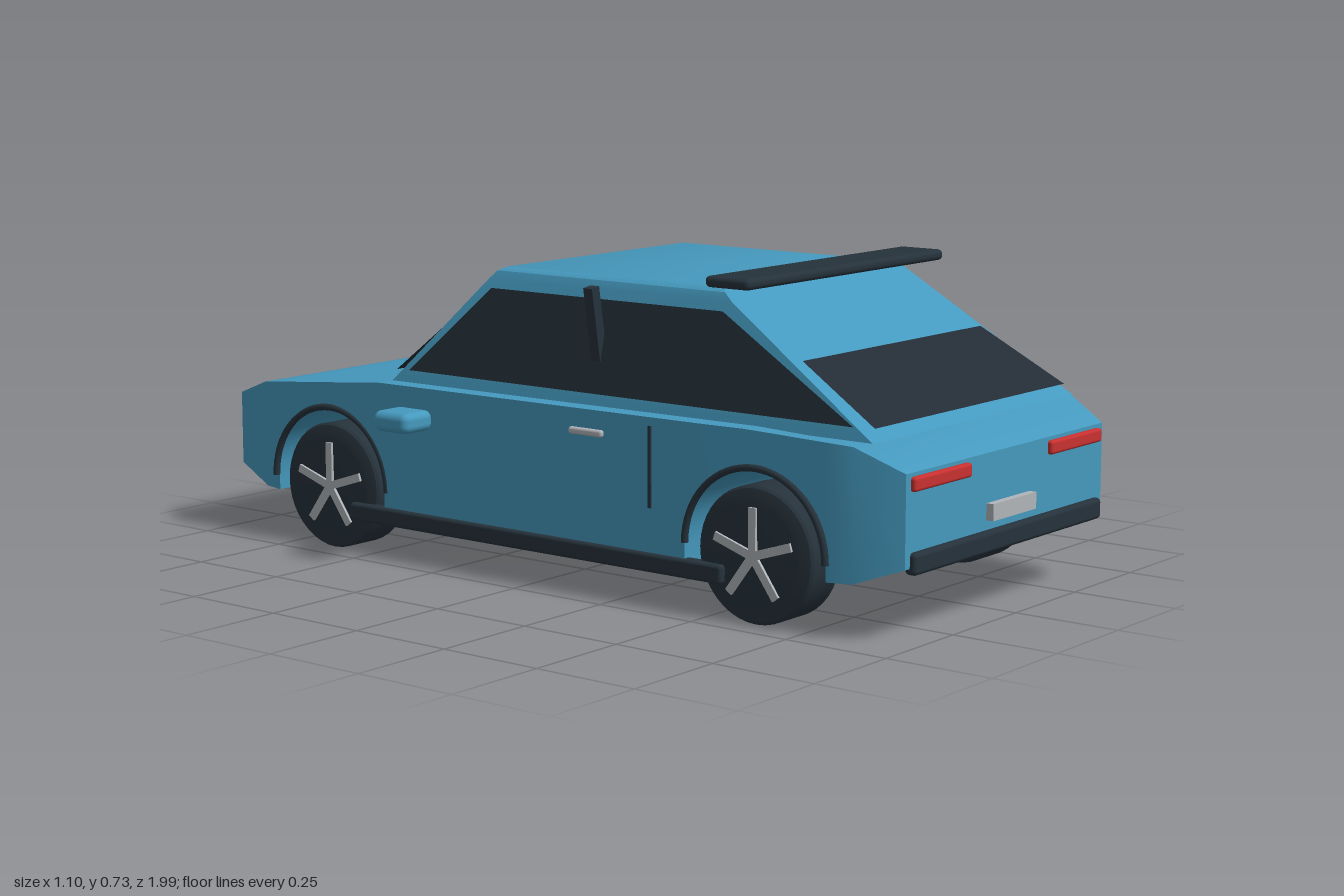
import * as THREE from 'three';
import { toCreasedNormals } from 'three/addons/utils/BufferGeometryUtils.js';
import { RoundedBoxGeometry } from 'three/addons/geometries/RoundedBoxGeometry.js';

const mat = (name, color, side = THREE.FrontSide) => {
  const m = new THREE.MeshStandardMaterial({ color, side });
  m.name = name;
  return m;
};

// Joins four-cornered sections (counter-clockwise seen from the last one) into a closed solid
function loft(sections, crease) {
  const index = [];
  const last = (sections.length - 1) * 4;
  for (let s = 0; s < last; s += 4) {
    for (let k = 0; k < 4; k++) {
      const n = (k + 1) % 4;
      index.push(s + k, s + n, s + 4 + n, s + k, s + 4 + n, s + 4 + k);
    }
  }
  index.push(0, 2, 1, 0, 3, 2, last, last + 1, last + 2, last, last + 2, last + 3);
  const g = new THREE.BufferGeometry();
  g.setAttribute('position', new THREE.Float32BufferAttribute(sections.flat(2), 3));
  g.setIndex(index);
  return toCreasedNormals(g, crease);
}

// Flat four-cornered pane
function pane(points) {
  const g = new THREE.BufferGeometry();
  g.setAttribute('position', new THREE.Float32BufferAttribute(points.flat(), 3));
  g.setIndex([0, 1, 2, 0, 2, 3]);
  g.computeVertexNormals();
  return g;
}

export function createModel() {
  const paint = mat('blue paint', 0x4599be);
  const trim = mat('dark trim', 0x26323b);
  const glass = mat('dark glass', 0x232d36, THREE.DoubleSide);
  const silver = mat('silver', 0xb0b4b8);
  const red = mat('red lamp', 0xc83030);

  const car = new THREE.Group();
  car.name = 'car';
  const add = (name, geometry, material, x = 0, y = 0, z = 0, parent = car) => {
    const m = new THREE.Mesh(geometry, material);
    m.name = name;
    m.position.set(x, y, z);
    parent.add(m);
    return m;
  };
  const rounded = (w, h, d, r) => new RoundedBoxGeometry(w, h, d, 3, r);

  const axles = [-0.625, 0.625];
  const archR = 0.18, archY = 0.155;

  // Lower body: sections along z, with wheel arches cut across the full width
  const topLine = [[-0.975, 0.335], [-0.85, 0.378], [-0.455, 0.415], [0.6, 0.42], [0.87, 0.41], [0.975, 0.36]];
  const widthLine = [[-0.975, 0.398], [-0.85, 0.436], [-0.5, 0.45], [0.5, 0.45], [0.87, 0.436], [0.975, 0.398]];
  const at = (line, z) => {
    let i = 0;
    while (i < line.length - 2 && z > line[i + 1][0]) i++;
    const [a, b] = [line[i], line[i + 1]];
    return THREE.MathUtils.mapLinear(z, a[0], b[0], a[1], b[1]);
  };
  const stations = [[-0.975, 0.16], [-0.85, 0.122]];
  axles.forEach((c, n) => {
    stations.push([c - archR - 0.001, n ? 0.1 : 0.118]);
    for (let i = 0; i <= 18; i++) {
      const a = Math.PI * (1 - i / 18);
      stations.push([c + archR * Math.cos(a), archY + archR * Math.sin(a)]);
    }
    stations.push([c + archR + 0.001, n ? 0.118 : 0.1]);
    if (!n) stations.push([-0.4, 0.1], [0.4, 0.1]);
  });
  stations.push([0.87, 0.122], [0.975, 0.16]);
  // extra sections where the roofline or plan outline bends
  const bodySections = stations.map(([z, b]) => {
    const w = at(widthLine, z), t = at(topLine, z);
    return [[w, b, z], [w, t, z], [-w, t, z], [-w, b, z]];
  });
  add('body', loft(bodySections, 0.5), paint);

  // Cabin: sections going up, with a softened roof edge
  const cabin = [[0.415, 0.403, -0.458, 0.895], [0.67, 0.348, -0.2, 0.492], [0.688, 0.34, -0.183, 0.468], [0.697, 0.325, -0.165, 0.45]]
    .map(([y, w, z0, z1]) => [[w, y, z1], [w, y, z0], [-w, y, z0], [-w, y, z1]]);
  add('cabin', loft(cabin, 0.6), paint);

  // Sloping windows at both ends
  add('tailWindow', pane([[-0.38, 0.442, 0.885], [0.38, 0.442, 0.885], [0.35, 0.56, 0.68], [-0.35, 0.56, 0.68]]), glass);
  add('windscreen', pane([[0.38, 0.438, -0.465], [-0.38, 0.438, -0.465], [-0.34, 0.562, -0.328], [0.34, 0.562, -0.328]]), glass);

  // Roof wing
  add('spoiler', rounded(0.76, 0.025, 0.118, 0.011), trim, 0, 0.713, 0.5);

  // Tail end
  add('rearBumper', rounded(0.76, 0.048, 0.03, 0.01), trim, 0, 0.169, 0.975);
  add('numberPlate', new THREE.BoxGeometry(0.175, 0.037, 0.02), silver, 0, 0.233, 0.983);

  // Nose end
  add('noseBumper', rounded(0.76, 0.048, 0.03, 0.01), trim, 0, 0.169, -0.975);
  add('grille', new THREE.BoxGeometry(0.36, 0.075, 0.03), trim, 0, 0.25, -0.983);

  const tyre = new THREE.LatheGeometry([[0, -0.056], [0.112, -0.058], [0.13, -0.056], [0.145, -0.052], [0.15, -0.046],
    [0.15, 0.046], [0.145, 0.052], [0.13, 0.056], [0.112, 0.058], [0, 0.056]].map(p => new THREE.Vector2(...p)), 40);
  const tyreGeometry = toCreasedNormals(tyre.rotateZ(-Math.PI / 2), 0.5);

  for (const s of [1, -1]) {
    const side = s > 0 ? 'left' : 'right';
    add(side + 'TailLight', rounded(0.218, 0.031, 0.022, 0.007), red, s * 0.271, 0.336, 0.976);
    add(side + 'Headlight', rounded(0.2, 0.042, 0.022, 0.007), silver, s * 0.28, 0.3, -0.977);

    // Side glass and the leaning pillar
    add(side + 'SideWindow', pane([[s * 0.408, 0.445, 0.85], [s * 0.408, 0.445, -0.4], [s * 0.364, 0.65, -0.18], [s * 0.364, 0.65, 0.48]]), glass);
    add(side + 'Pillar', new THREE.BoxGeometry(0.025, 0.165, 0.025), trim, s * 0.396, 0.6, 0.153).rotation.z = -s * 0.165;

    // Door details
    add(side + 'Mirror', rounded(0.095, 0.048, 0.108, 0.018), paint, s * 0.502, 0.346, -0.333);
    add(side + 'DoorHandle', rounded(0.015, 0.016, 0.095, 0.006), silver, s * 0.452, 0.368, 0.173);
    add(side + 'DoorSeam', new THREE.BoxGeometry(0.008, 0.18, 0.008), trim, s * 0.45, 0.31, 0.35);
    add(side + 'Sill', rounded(0.035, 0.042, 1.1, 0.008), trim, s * 0.444, 0.1, 0);

    for (const z of axles) {
      const end = z > 0 ? 'Rear' : 'Nose';
      add(side + end + 'ArchTrim', new THREE.TorusGeometry(0.184, 0.008, 8, 32, Math.PI), trim, s * 0.445, archY, z).rotation.y = Math.PI / 2;

      // Wheel with five spokes running through it
      const wheel = new THREE.Group();
      wheel.name = side + end + 'Wheel';
      wheel.position.set(s * 0.388, 0.15, z);
      car.add(wheel);
      add('tyre', tyreGeometry, trim, 0, 0, 0, wheel);
      for (let i = 0; i < 5; i++) {
        const spoke = new THREE.BoxGeometry(0.128, 0.105, 0.019).translate(0, 0.0525, 0).rotateX(i * Math.PI * 0.4);
        add('spoke', spoke, silver, 0, 0, 0, wheel);
      }
    }
  }
  return car;
}
